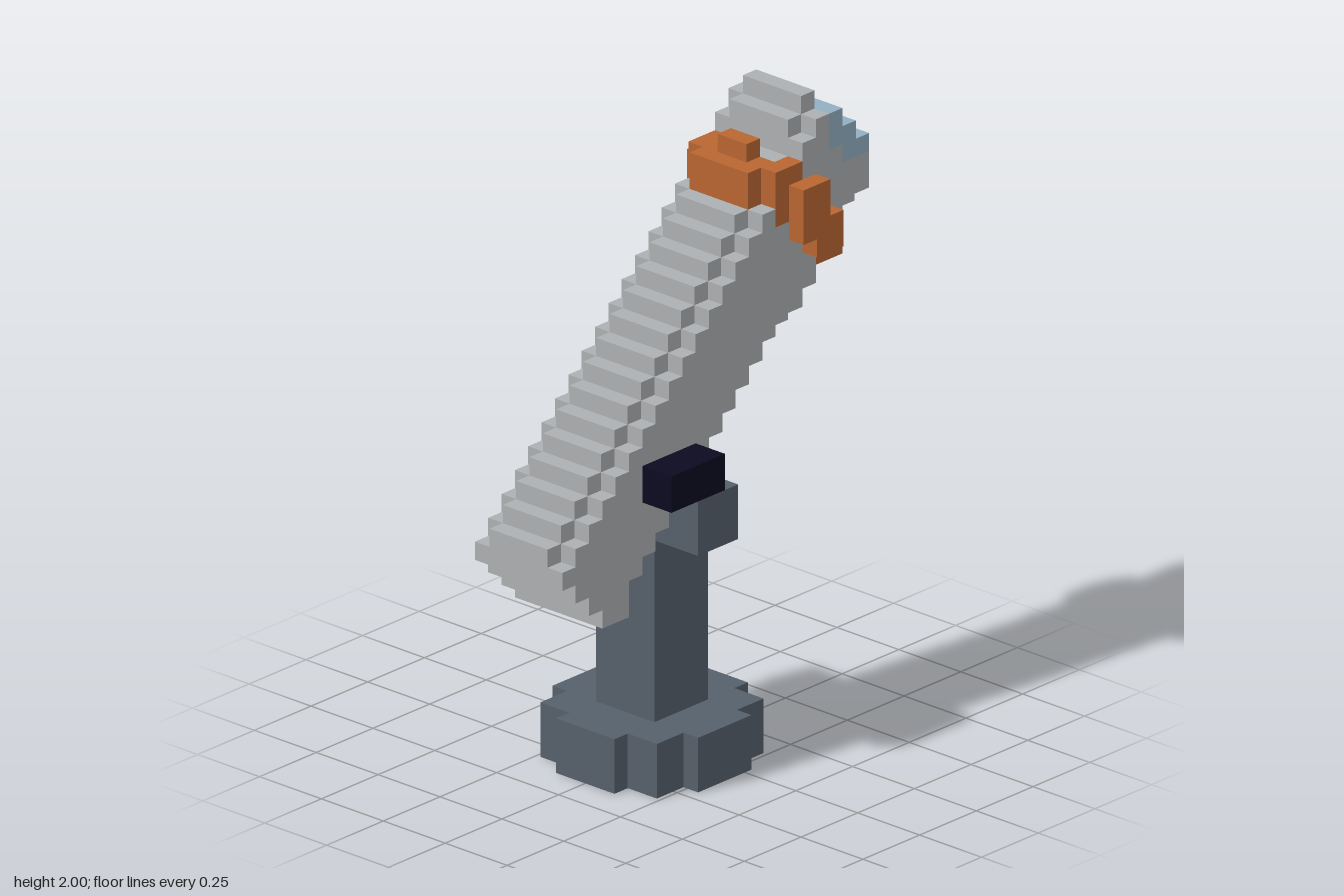
import * as THREE from 'three';

const U = 2 / 34; // edge of one cube
const DEPTH = 23; // cubes from front to back

const material = (name, color) => {
  const m = new THREE.MeshStandardMaterial({ color });
  m.name = name;
  return m;
};

// Outward normal and two edge directions (u x v = normal) for every cube side
const SIDES = [
  [[1, 0, 0], [0, 1, 0], [0, 0, 1]], [[-1, 0, 0], [0, 0, 1], [0, 1, 0]],
  [[0, 1, 0], [0, 0, 1], [1, 0, 0]], [[0, -1, 0], [1, 0, 0], [0, 0, 1]],
  [[0, 0, 1], [1, 0, 0], [0, 1, 0]], [[0, 0, -1], [0, 1, 0], [1, 0, 0]],
];

export function createModel() {
  const cells = new Map();
  const key = (x, y, c) => `${x},${y},${c}`;

  // Fill cubes x0..x1, y0..y1, c0..c1 (upper ends exclusive; c counts from the front)
  const fill = (part, x0, x1, y0, y1, c0, c1) => {
    for (let x = x0; x < x1; x++)
      for (let y = y0; y < y1; y++)
        for (let c = c0; c < c1; c++) cells.set(key(x, y, c), { part, p: [x, y, c] });
  };
  const centred = (part, half, ...rest) => fill(part, -half, half, ...rest);
  const mirrored = (part, x0, x1, ...rest) => {
    fill(part, x0, x1, ...rest);
    fill(part, -x1, -x0, ...rest);
  };

  // Rounded base
  centred('base', 5, 0, 3, 8, 12);
  centred('base', 4, 0, 3, 6, 14);
  centred('base', 2, 0, 3, 5, 15);
  // Post and crossbar
  centred('post', 2, 3, 14, 8, 12);
  centred('crossbar', 5, 13, 16, 8, 11);

  // Slanted tube, one column at a time, narrower along its top and bottom
  for (let c = 0; c < DEPTH; c++) {
    let low = c + 6, high = c + 15;
    if (c < 5) low = Math.max(10, 13 - c);
    else if (c > 19) { low = Math.min(c + 6, 27); high = 53 - c; }
    else if (c > 16) low = c + 5;
    if (c === 17) high = 31;
    const roundTop = c < 20, roundLow = c > 4;
    centred('tube', 3, low + (roundLow ? 1 : 0), high - (roundTop ? 1 : 0), c, c + 1);
    if (roundTop) centred('tube', 2, high - 1, high, c, c + 1);
    if (roundLow) centred('tube', 2, low, low + 1, c, c + 1);
  }

  // Lens across the upper rear end
  centred('lens', 3, 31, 33, 20, 21);
  centred('lens', 3, 30, 32, 21, 22);
  centred('lens', 3, 30, 31, 22, 23);
  centred('lens', 2, 29, 30, 22, 23);

  // Collar around the tube
  centred('collar', 2, 29, 31, 15, 16);
  centred('collar', 3, 28, 31, 16, 17);
  centred('collar', 1, 31, 32, 16, 17);
  centred('collar', 3, 27, 30, 17, 18);
  mirrored('collar', 2, 3, 30, 31, 17, 18);
  centred('collar', 3, 26, 29, 18, 19);
  centred('collar', 3, 25, 28, 19, 20);
  centred('collar', 3, 25, 27, 20, 21);
  centred('collar', 2, 26, 27, 21, 22);
  mirrored('collar', 3, 4, 27, 30, 17, 18);
  mirrored('collar', 3, 4, 26, 30, 18, 19);
  mirrored('collar', 3, 4, 26, 28, 19, 20);

  // Dark control block on the left arm
  fill('controlBlock', 3, 5, 16, 18, 6, 10);

  const steel = material('steel', 0x56606b);
  const materials = {
    base: steel, post: steel, crossbar: steel,
    tube: material('pale grey', 0xadb0b2),
    lens: material('glass blue', 0x93b0c1),
    collar: material('copper orange', 0xb96632),
    controlBlock: material('near black', 0x0b0a20),
  };

  // Collect the exposed cube sides of every part
  const positions = {};
  for (const { part, p: [x, y, c] } of cells.values()) {
    const centre = [x + 0.5, y + 0.5, DEPTH / 2 - c - 0.5];
    for (const [n, u, v] of SIDES) {
      if (cells.has(key(x + n[0], y + n[1], c - n[2]))) continue;
      const corner = (a, b) => centre.map((m, i) => (m + (n[i] + a * u[i] + b * v[i]) / 2) * U);
      const [p, q, r, s] = [corner(-1, -1), corner(1, -1), corner(1, 1), corner(-1, 1)];
      (positions[part] ??= []).push(...p, ...q, ...r, ...p, ...r, ...s);
    }
  }

  const group = new THREE.Group();
  group.name = 'telescope';
  for (const [part, list] of Object.entries(positions)) {
    const geometry = new THREE.BufferGeometry();
    geometry.setAttribute('position', new THREE.Float32BufferAttribute(list, 3));
    geometry.computeVertexNormals();
    const mesh = new THREE.Mesh(geometry, materials[part]);
    mesh.name = part;
    group.add(mesh);
  }
  return group;
}
